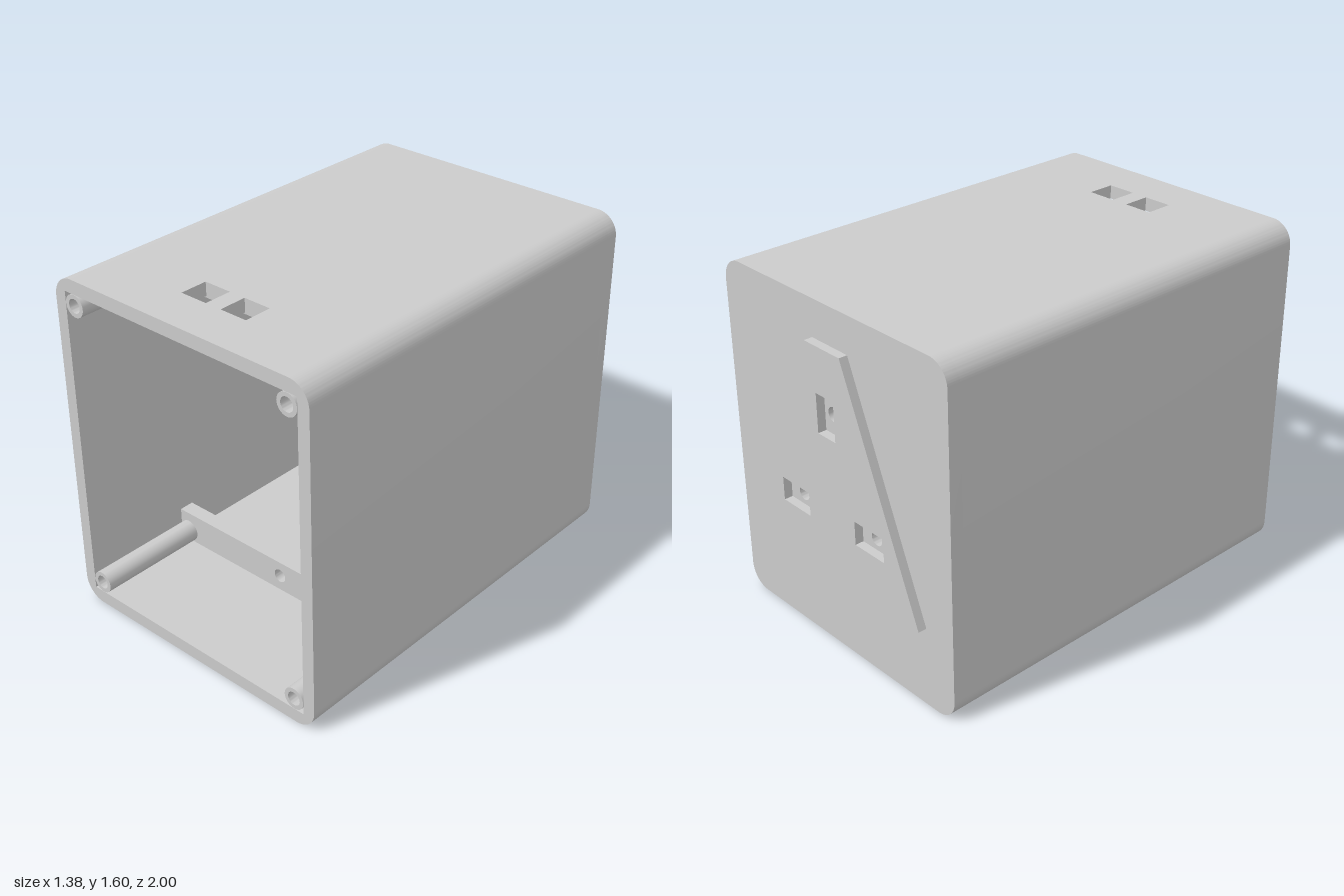
import * as THREE from 'three';
import { toCreasedNormals } from 'three/addons/utils/BufferGeometryUtils.js';

const W = 0.69, H = 1.6, R = 0.1;            // outer half width, height, corner radius
const IX = 0.632, IY0 = 0.063, IY1 = 1.537;  // inner cavity
const BACK = -0.96, FLOOR = -0.9, FRONT = 1; // depth positions
const PINS = [[0, 1.13, 0.11, 0.18], [-0.24, 0.665, 0.18, 0.11], [0.24, 0.665, 0.18, 0.11]];

const material = new THREE.MeshStandardMaterial({ color: 0xcccccc });

const poly = (pts) => new THREE.Shape(pts.map(([x, y]) => new THREE.Vector2(x, y)));
const rect = (x0, y0, x1, y1) => poly([[x0, y0], [x1, y0], [x1, y1], [x0, y1]]);
const circle = (x, y, r) => new THREE.Shape().absarc(x, y, r, 0, Math.PI * 2, false);

// Extrude a shape with holes between two z values
function slab(name, shape, holes, z0, z1) {
  shape.holes.push(...holes);
  const geo = new THREE.ExtrudeGeometry(shape, { depth: z1 - z0, bevelEnabled: false, curveSegments: 16 });
  geo.translate(0, 0, z0);
  const mesh = new THREE.Mesh(toCreasedNormals(geo, 0.6), material);
  mesh.name = name;
  return mesh;
}

// Rounded outer outline, running clockwise from (gap, H) to (-gap, H)
function outline(gap) {
  const s = new THREE.Shape();
  s.moveTo(gap, H);
  s.lineTo(W - R, H);
  s.absarc(W - R, H - R, R, Math.PI / 2, 0, true);
  s.absarc(W - R, R, R, 0, -Math.PI / 2, true);
  s.absarc(-W + R, R, R, -Math.PI / 2, -Math.PI, true);
  s.absarc(-W + R, H - R, R, Math.PI, Math.PI / 2, true);
  s.lineTo(-gap, H);
  return s;
}

export function createModel() {
  const model = new THREE.Group();
  model.name = 'socketHousing';

  // Side walls, floor and the outer parts of the roof
  const gap = 0.22;
  const walls = outline(gap);
  [[-gap, IY1], [-IX, IY1], [-IX, IY0], [IX, IY0], [IX, IY1], [gap, IY1]].forEach(([x, y]) => walls.lineTo(x, y));
  model.add(slab('shellWalls', walls, [], FLOOR, FRONT));

  // Middle of the roof with two square windows
  const windows = [rect(-0.175, -0.79, -0.04, -0.66), rect(0.04, -0.79, 0.175, -0.66)];
  const roof = slab('roofPanel', rect(-gap, -FRONT, gap, -FLOOR), windows, 0, H - IY1);
  roof.rotation.x = -Math.PI / 2;
  roof.position.y = IY1;
  model.add(roof);

  // Back wall with three round holes
  const pinHoles = PINS.map(([x, y]) => circle(x, y, 0.033));
  model.add(slab('backWall', outline(0.01), pinHoles, BACK, FLOOR));

  // Raised tapered plate with rectangular recesses around the holes
  const slots = PINS.map(([x, y, w, h]) => rect(x - w / 2, y - h / 2, x + w / 2, y + h / 2));
  const plate = poly([[-0.53, 0.38], [0.53, 0.38], [0.11, 1.43], [-0.11, 1.43]]);
  model.add(slab('backPlate', plate, slots, -1, BACK));

  // Cross ribs along floor and roof, each with a screw hole
  model.add(slab('lowerRib', rect(-IX, IY0, IX, 0.21), [circle(0, 0.138, 0.032)], 0.4, 0.47));
  model.add(slab('upperRib', rect(-IX, 1.39, IX, IY1), [circle(0, 1.465, 0.032)], 0.4, 0.47));

  // Screw posts and triangular gussets in the four corners
  const g = 0.38;
  for (const sx of [-1, 1]) {
    for (const [sy, y] of [[1, IY0], [-1, IY1]]) {
      const px = sx * 0.58, py = y + sy * 0.052;
      model.add(slab('screwPost', circle(px, py, 0.051), [circle(px, py, 0.032)], 0.47, FRONT));
      const gusset = poly([[sx * IX, y], [sx * (IX - g), y], [sx * IX, y + sy * g]]);
      model.add(slab('cornerGusset', gusset, [], -0.53, -0.48));
    }
  }
  return model;
}
